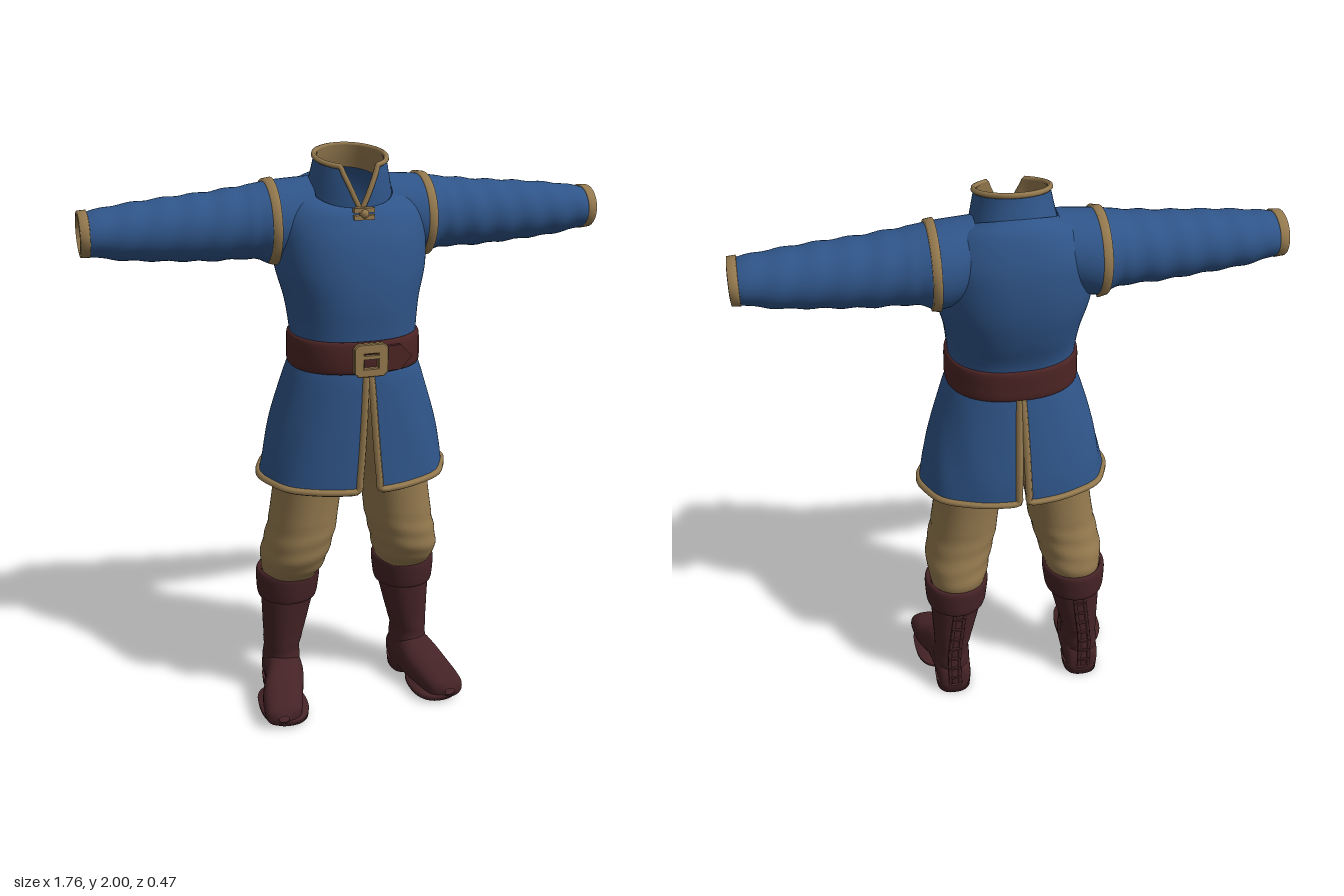
import * as THREE from 'three';
import { mergeVertices } from 'three/addons/utils/BufferGeometryUtils.js';

const mat = (name, color) => new THREE.MeshStandardMaterial({ name, color, side: THREE.DoubleSide });

// Point on a skin running through sections [pos, lo1, hi1, lo2, hi2, tilt, startGap, endGap].
// Axis y spans (x, z), axis x spans (y, z), axis z spans (x, y).
function makeSurface(axis, sections, o = {}) {
  const { start = 0, end = Math.PI * 2, power = 2, bump } = o;
  const rows = sections.map(s => Array.from({ length: 8 }, (_, i) => s[i] ?? 0));
  const spline = new THREE.CubicInterpolant(rows.map((_, i) => i), rows.flat(), 8);
  const ease = v => Math.sign(v) * Math.abs(v) ** (2 / power);
  return (u, t) => {
    const [pos, l1, h1, l2, h2, tilt, g0, g1] = Array.from(spline.evaluate(u));
    const th = start + g0 + t * (end - g1 - start - g0);
    const k = bump ? bump(pos, th) : 1;
    const a = (l1 + h1) / 2 + (h1 - l1) / 2 * k * ease(Math.sin(th));
    const b = (l2 + h2) / 2 + (h2 - l2) / 2 * k * ease(Math.cos(th));
    const p = pos + tilt * Math.cos(th);
    return axis === 'y' ? new THREE.Vector3(a, p, b)
      : axis === 'x' ? new THREE.Vector3(p, a, b) : new THREE.Vector3(a, b, p);
  };
}

function loft(name, material, axis, sections, o = {}) {
  const { steps = 5, n = 48, keep } = o;
  const surf = makeSurface(axis, sections, o), m = (sections.length - 1) * steps;
  const pts = [], idx = [];
  for (let i = 0; i <= m; i++) for (let j = 0; j <= n; j++) pts.push(surf(i / steps, j / n));
  for (let i = 0; i < m; i++) for (let j = 0; j < n; j++) {
    const a = i * (n + 1) + j, b = a + 1, c = a + n + 1, d = c + 1;
    if (keep && !keep(pts[a].clone().add(pts[d]).multiplyScalar(0.5))) continue;
    if (axis === 'y') idx.push(a, b, c, b, d, c);
    else if (axis === 'x') idx.push(a, c, b, b, c, d);
    else idx.push(a, c, b, b, c, d);
  }
  let g = new THREE.BufferGeometry().setFromPoints(pts);
  g.setIndex(idx);
  g = mergeVertices(g, 1e-5);
  g.computeVertexNormals();
  const mesh = new THREE.Mesh(g, material);
  mesh.name = name;
  return mesh;
}

function tube(name, material, points, r, seg = 90) {
  const mesh = new THREE.Mesh(
    new THREE.TubeGeometry(new THREE.CatmullRomCurve3(points, false, 'centripetal'), seg, r, 6), material);
  mesh.name = name;
  return mesh;
}

function solid(name, material, geometry, x, y, z, ry = 0) {
  const mesh = new THREE.Mesh(geometry, material);
  mesh.name = name;
  mesh.position.set(x, y, z);
  mesh.rotation.y = ry;
  return mesh;
}

const range = (n, f) => Array.from({ length: n + 1 }, (_, i) => f(i / n));

export function createModel() {
  const cloth = mat('blue cloth', 0x2f5589), tan = mat('tan cloth', 0x957a4f);
  const leather = mat('dark leather', 0x452326), beltRed = mat('belt leather', 0x4c2424);
  const root = new THREE.Group();
  root.name = 'outfit';

  // Tunic body, with armholes left open into the sleeves
  root.add(loft('tunicBody', cloth, 'y', [
    [1.30, -0.205, 0.205, -0.16, 0.195], [1.42, -0.213, 0.213, -0.165, 0.198],
    [1.52, -0.225, 0.225, -0.2, 0.205], [1.62, -0.25, 0.25, -0.225, 0.2],
    [1.72, -0.257, 0.257, -0.232, 0.18], [1.80, -0.25, 0.25, -0.222, 0.15, -0.01],
    [1.86, -0.205, 0.205, -0.185, 0.13, -0.04], [1.88, -0.14, 0.14, -0.14, 0.113, -0.05],
  ], { power: 2.3, n: 72,
    keep: p => !(Math.abs(p.x) > 0.14 && ((p.y - 1.77) / 0.1) ** 2 + ((p.z + 0.06) / 0.1) ** 2 < 1) }));
  const floor = solid('innerLining', tan, new THREE.CircleGeometry(0.19, 32), 0, 1.5, 0);
  floor.rotation.x = -Math.PI / 2;
  root.add(floor);

  // Standing collar with a V notch, lining and piping
  const collar = [
    [1.875, -0.14, 0.14, -0.142, 0.115, -0.05, 0.02, 0.02],
    [1.93, -0.128, 0.128, -0.13, 0.115, -0.036, 0.28, 0.28],
    [1.978, -0.118, 0.118, -0.122, 0.11, -0.022, 0.56, 0.56]];
  root.add(loft('collar', cloth, 'y', collar));
  root.add(loft('collarLining', tan, 'y', collar.map(([y, a, b, c, d, ...r]) =>
    [y, a + 0.01, b - 0.01, c + 0.01, d - 0.01, ...r])));
  const cs = makeSurface('y', collar);
  root.add(tube('collarPiping', tan, [
    ...range(6, t => cs(2 * t, 0)), ...range(30, t => cs(2, 0.02 + 0.96 * t)),
    ...range(6, t => cs(2 - 2 * t, 1))], 0.009));
  for (const y of [1.805, 1.828])
    root.add(solid('neckClasp', tan, new THREE.BoxGeometry(0.068, 0.015, 0.024), 0, y, 0.143));
  root.add(solid('claspKnot', tan, new THREE.SphereGeometry(0.016, 12, 8), 0, 1.817, 0.148));

  // Belt, strap tip and buckle
  root.add(loft('belt', beltRed, 'y', [
    [1.305, -0.205, 0.205, -0.155, 0.195], [1.307, -0.222, 0.222, -0.172, 0.213],
    [1.355, -0.223, 0.223, -0.174, 0.218], [1.407, -0.22, 0.22, -0.172, 0.213],
    [1.41, -0.2, 0.2, -0.155, 0.195]], { power: 2.3 }));
  const tip = new THREE.Shape([[0, -0.042], [0.07, -0.042], [0.11, 0], [0.07, 0.042], [0, 0.042]]
    .map(p => new THREE.Vector2(...p)));
  root.add(solid('beltTip', beltRed,
    new THREE.ExtrudeGeometry(tip, { depth: 0.012, bevelEnabled: false }), 0.035, 1.355, 0.216, 0.12));
  const frame = new THREE.Shape([[-0.055, -0.04], [-0.042, -0.053], [0.042, -0.053], [0.055, -0.04],
    [0.055, 0.04], [0.042, 0.053], [-0.042, 0.053], [-0.055, 0.04]].map(p => new THREE.Vector2(...p)));
  frame.holes.push(new THREE.Path([[-0.027, -0.03], [-0.027, 0.025], [0.027, 0.025], [0.027, -0.03]]
    .map(p => new THREE.Vector2(...p))));
  root.add(solid('buckle', tan, new THREE.ExtrudeGeometry(frame,
    { depth: 0.014, bevelSize: 0.003, bevelThickness: 0.003, bevelSegments: 1 }), 0, 1.355, 0.217));
  root.add(solid('bucklePin', tan, new THREE.BoxGeometry(0.054, 0.012, 0.012), 0, 1.365, 0.227));

  for (const side of [1, -1]) {
    const half = new THREE.Group();
    half.name = side > 0 ? 'leftHalf' : 'rightHalf';
    half.scale.x = side;
    root.add(half);

    // Sleeve with soft folds, shoulder trim and cuff
    half.add(loft('sleeve', cloth, 'x', [
      [0.13, 1.66, 1.912, -0.185, 0.07], [0.25, 1.63, 1.903, -0.205, 0.08],
      [0.32, 1.652, 1.893, -0.19, 0.068], [0.45, 1.653, 1.877, -0.175, 0.06],
      [0.6, 1.662, 1.865, -0.16, 0.053], [0.75, 1.675, 1.85, -0.147, 0.046],
      [0.865, 1.697, 1.832, -0.125, 0.036],
    ], { steps: 8, bump: (x, th) => 1 + (x > 0.33 ? 0.022 * Math.sin(x * 62 + 1.5 * Math.sin(th)) : 0) }));
    half.add(loft('shoulderTrim', tan, 'x', [
      [0.248, 1.63, 1.9, -0.2, 0.075], [0.25, 1.622, 1.912, -0.214, 0.089],
      [0.277, 1.628, 1.908, -0.21, 0.085], [0.279, 1.64, 1.895, -0.195, 0.07],
    ], { steps: 1, start: -Math.PI / 2 + 0.45, end: Math.PI * 1.5 - 0.45 }));
    half.add(loft('cuff', tan, 'x', [
      [0.848, 1.697, 1.835, -0.125, 0.036], [0.85, 1.69, 1.84, -0.134, 0.043],
      [0.878, 1.693, 1.838, -0.132, 0.04], [0.88, 1.708, 1.823, -0.117, 0.025],
      [0.845, 1.71, 1.821, -0.115, 0.023]], { steps: 1 }));

    // Skirt panel, slit at front and back, with piping around its edge
    const panel = [
      [1.32, -0.215, 0.215, -0.166, 0.2, 0, 0.01, 0.01], [1.26, -0.238, 0.238, -0.178, 0.21, 0, 0.03, 0.02],
      [1.12, -0.28, 0.28, -0.203, 0.218, 0, 0.05, 0.03], [1.0, -0.308, 0.308, -0.22, 0.223, -0.008, 0.07, 0.035],
      [0.91, -0.325, 0.325, -0.226, 0.226, -0.015, 0.09, 0.04]];
    const po = { end: Math.PI, power: 2.25,
      bump: (y, th) => 1 + 0.012 * Math.sin(th * 9 + y * 14) * Math.sin(th) * Math.min(1, (1.32 - y) * 4) };
    half.add(loft('skirtPanel', cloth, 'y', panel, po));
    const ps = makeSurface('y', panel, po);
    half.add(tube('skirtPiping', tan, [
      ...range(10, t => ps(0.2 + 3.75 * t, 0)), ...range(30, t => ps(4, 0.015 + 0.97 * t)),
      ...range(10, t => ps(3.95 - 3.75 * t, 1))], 0.0125, 140));

    // Baggy trouser leg
    half.add(loft('trouserLeg', tan, 'y', [
      [0.46, 0.13, 0.305, -0.16, 0.03], [0.51, 0.115, 0.312, -0.175, 0.06],
      [0.56, 0.1, 0.322, -0.178, 0.105], [0.62, 0.084, 0.316, -0.165, 0.13],
      [0.7, 0.064, 0.298, -0.152, 0.137], [0.8, 0.05, 0.282, -0.15, 0.14],
      [0.9, 0.032, 0.27, -0.153, 0.145], [1.0, -0.005, 0.265, -0.158, 0.15],
      [1.16, -0.03, 0.235, -0.155, 0.15]],
    { power: 2.2, bump: (y, th) => 1 + (y < 0.72 ? 0.015 * Math.sin(y * 85 + 2 * Math.sin(th)) : 0) }));

    // Boot: folded cuff, shaft, foot and sole
    half.add(loft('bootCuff', leather, 'y', [
      [0.425, 0.135, 0.31, -0.165, 0.03], [0.41, 0.118, 0.328, -0.182, 0.045],
      [0.46, 0.109, 0.334, -0.186, 0.053], [0.507, 0.105, 0.333, -0.186, 0.056],
      [0.512, 0.118, 0.318, -0.172, 0.042], [0.47, 0.13, 0.306, -0.16, 0.03]], { steps: 3 }));
    half.add(loft('bootShaft', leather, 'y', [
      [0.05, 0.185, 0.31, -0.163, 0.01], [0.13, 0.182, 0.315, -0.165, 0.022],
      [0.2, 0.184, 0.31, -0.162, 0.018], [0.3, 0.158, 0.313, -0.163, 0.023],
      [0.43, 0.125, 0.317, -0.167, 0.033]],
    { power: 2.2, bump: (y, th) => 1 + (y < 0.24 ? 0.02 * Math.sin(y * 90 + Math.sin(th)) : 0) }));
    half.add(loft('bootFoot', leather, 'z', [
      [-0.166, 0.225, 0.265, 0.03, 0.1], [-0.15, 0.19, 0.305, 0.018, 0.14],
      [-0.06, 0.182, 0.318, 0.02, 0.18], [0.02, 0.188, 0.332, 0.022, 0.178],
      [0.09, 0.208, 0.358, 0.02, 0.137], [0.16, 0.228, 0.37, 0.02, 0.115],
      [0.205, 0.25, 0.367, 0.022, 0.1], [0.225, 0.295, 0.33, 0.045, 0.07]], { power: 2.5, n: 32 }));
    half.add(loft('bootSole', leather, 'y', [
      [0.022, 0.25, 0.25, 0, 0], [0.022, 0.2, 0.368, -0.03, 0.218],
      [0.045, 0.198, 0.372, -0.035, 0.222], [0.045, 0.25, 0.3, 0.05, 0.1]], { steps: 1, power: 2.4 }));
    half.add(loft('bootHeel', leather, 'y', [
      [0.012, 0.24, 0.25, -0.1, -0.09], [0.012, 0.186, 0.312, -0.166, -0.02],
      [0.05, 0.182, 0.315, -0.168, -0.015]], { steps: 1, power: 2.6 }));

    // Lacing down the back of the boot
    for (const dx of [-0.018, 0.018])
      half.add(tube('backSeam', leather, [[0.06, 0.25], [0.2, 0.248], [0.3, 0.236], [0.42, 0.222]]
        .map(([y, x]) => new THREE.Vector3(x + dx, y, -0.163)), 0.007, 16));
    for (let i = 0; i < 7; i++)
      half.add(solid('lace', leather, new THREE.BoxGeometry(0.045, 0.008, 0.01),
        0.25 - Math.max(0, i - 2) * 0.006, 0.09 + i * 0.048, -0.167));
  }
  return root;
}
